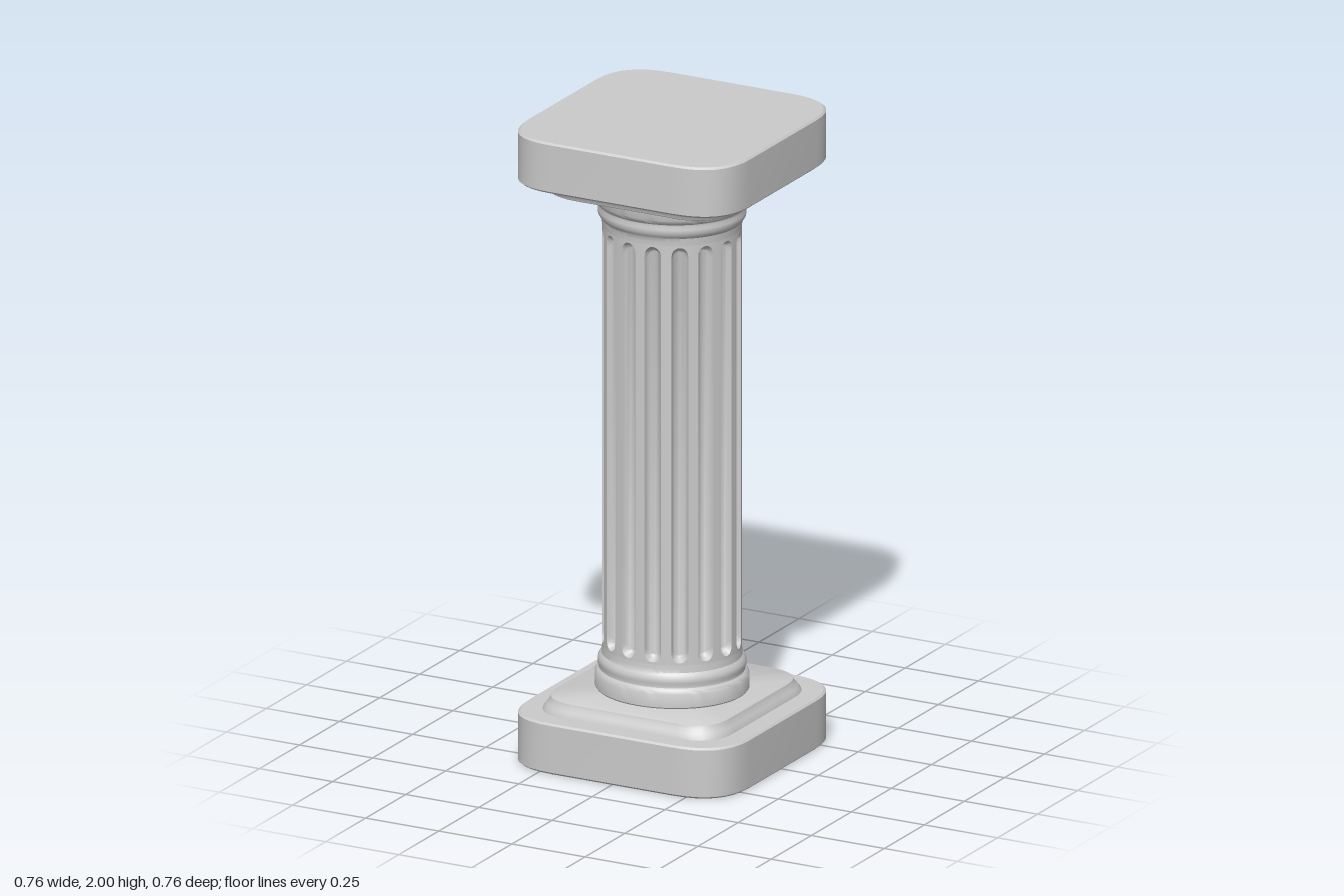
import * as THREE from 'three';
import { toCreasedNormals } from 'three/addons/utils/BufferGeometryUtils.js';

const material = new THREE.MeshStandardMaterial({ color: 0xcccccc, side: THREE.DoubleSide });
const SQUASH = 0.94; // the round parts are slightly shallower in z
const FLUTES = 16;

function part(name, geometry, crease = 0.6) {
  const mesh = new THREE.Mesh(toCreasedNormals(geometry, crease), material);
  mesh.name = name;
  return mesh;
}

// Outline points of a soft-cornered square with half width h
function softSquare(h, corner, steps = 8) {
  const points = [];
  const a = h - corner;
  for (let q = 0; q < 4; q++) {
    const curve = new THREE.QuadraticBezierCurve(
      new THREE.Vector2(h, a), new THREE.Vector2(h, h), new THREE.Vector2(a, h));
    for (const p of curve.getPoints(steps)) {
      points.push(p.rotateAround(new THREE.Vector2(), q * Math.PI / 2));
    }
  }
  return points;
}

// Stack of soft squares: levels are [half width, height], closed at both ends
function softSlab(levels, cornerRatio) {
  const position = [], index = [];
  let n = 0;
  levels.forEach(([h, y]) => {
    const ring = softSquare(h, h * cornerRatio);
    n = ring.length;
    ring.forEach((p) => position.push(p.x, y, -p.y));
  });
  for (let r = 0; r < levels.length - 1; r++) {
    for (let i = 0; i < n; i++) {
      const a = r * n + i, b = r * n + (i + 1) % n;
      index.push(a, b, b + n, a, b + n, a + n);
    }
  }
  const last = levels.length - 1;
  const bottom = position.length / 3;
  position.push(0, levels[0][1], 0, 0, levels[last][1], 0);
  for (let i = 0; i < n; i++) {
    const j = (i + 1) % n;
    index.push(bottom, j, i, bottom + 1, last * n + i, last * n + j);
  }
  const geometry = new THREE.BufferGeometry();
  geometry.setAttribute('position', new THREE.Float32BufferAttribute(position, 3));
  geometry.setIndex(index);
  geometry.computeVertexNormals();
  return geometry;
}

// Fluted shaft: a tube whose rows bend into an arch at both ends of each flute
function flutedShaft(radius, y0, y1, depth) {
  const pitch = Math.PI * 2 / FLUTES, half = pitch * 0.31, arch = 0.028;
  const columns = [];
  for (let f = 0; f < FLUTES; f++) {
    const centre = (f + 0.5) * pitch;
    columns.push({ angle: centre - pitch / 2, curve: 0 });
    for (let k = 0; k <= 10; k++) {
      const t = k / 10 * Math.PI;
      columns.push({ angle: centre - half * Math.cos(t), curve: Math.sin(t) });
    }
  }
  // [inset from the arch edge, share of the full flute depth]
  const ramp = [0, 0.25, 0.5, 0.75, 1].map((t) => [0.02 * t, Math.sin(t * Math.PI / 2)]);
  const margin = 0.012;
  const rows = [(c) => [y0, 0]];
  ramp.forEach(([s, d]) => rows.push((c) => [y0 + margin + arch * (1 - c) + s, d]));
  [...ramp].reverse().forEach(([s, d]) => rows.push((c) => [y1 - margin - arch * (1 - c) - s, d]));
  rows.push((c) => [y1, 0]);

  const position = [], index = [], n = columns.length;
  rows.forEach((row) => columns.forEach(({ angle, curve }) => {
    const [y, d] = row(curve);
    const r = radius - depth * curve * d;
    position.push(r * Math.sin(angle), y, r * Math.cos(angle) * SQUASH);
  }));
  for (let r = 0; r < rows.length - 1; r++) {
    for (let i = 0; i < n; i++) {
      const a = r * n + i, b = r * n + (i + 1) % n;
      index.push(a, b, b + n, a, b + n, a + n);
    }
  }
  const geometry = new THREE.BufferGeometry();
  geometry.setAttribute('position', new THREE.Float32BufferAttribute(position, 3));
  geometry.setIndex(index);
  geometry.computeVertexNormals();
  return geometry;
}

// One end of the column: slab, stepped plinth and round moulding
function columnEnd(name) {
  const end = new THREE.Group();
  end.name = name;
  end.add(part(name + 'Slab', softSlab(
    [[0.374, 0], [0.38, 0.006], [0.38, 0.154], [0.374, 0.16]], 0.45)));
  end.add(part(name + 'Plinth', softSlab(
    [[0.316, 0.155], [0.314, 0.165], [0.306, 0.178], [0.298, 0.19], [0.295, 0.2], [0.288, 0.204]], 0.4)));

  const profile = [
    [0.19, 0.2], [0.23, 0.2], [0.236, 0.208], [0.236, 0.25], [0.231, 0.26],
    [0.224, 0.266], [0.223, 0.272], [0.227, 0.282], [0.226, 0.296], [0.22, 0.306],
    [0.215, 0.312], [0.214, 0.325], [0.213, 0.336],
  ].map(([r, y]) => new THREE.Vector2(r, y));
  const moulding = new THREE.LatheGeometry(profile, 64);
  moulding.scale(1, 1, SQUASH);
  end.add(part(name + 'Moulding', moulding));
  return end;
}

export function createModel() {
  const model = new THREE.Group();
  model.name = 'column';

  model.add(columnEnd('base'));
  const capital = columnEnd('capital');
  capital.rotation.x = Math.PI;
  capital.position.y = 2;
  model.add(capital);

  model.add(part('flutedShaft', flutedShaft(0.213, 0.33, 1.67, 0.026)));
  return model;
}
